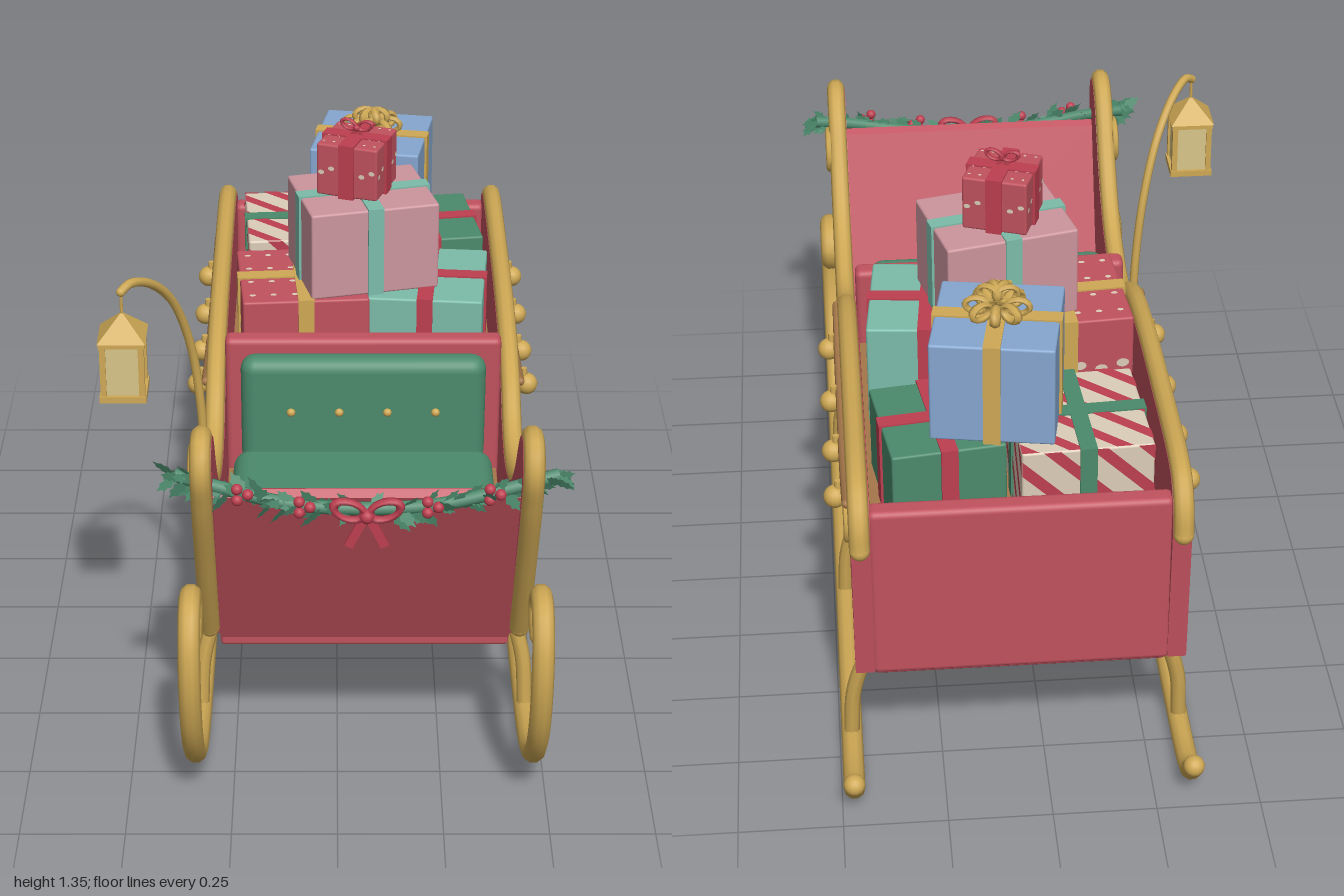
import * as THREE from 'three';
import { RoundedBoxGeometry } from 'three/addons/geometries/RoundedBoxGeometry.js';

const V = (x, y, z) => new THREE.Vector3(x, y, z);
const make = (name, color, side = THREE.FrontSide) => {
  const m = new THREE.MeshStandardMaterial({ color, side });
  m.name = name;
  return m;
};

export function createModel() {
  const red = make('sleighRed', 0xc0525e), gold = make('gold', 0xcfa955), green = make('green', 0x4c8a6c, THREE.DoubleSide);
  const mint = make('mint', 0x7cbcaa), pink = make('pink', 0xcc959d), blue = make('blue', 0x86a7d0);
  const brown = make('wood', 0xa5774a), cream = make('cream', 0xdccdb8, THREE.DoubleSide);
  const berry = make('ribbonRed', 0xbd3f50, THREE.DoubleSide), pane = make('lanternGlass', 0xd8c68a);

  const model = new THREE.Group();
  model.name = 'sleigh';
  const body = new THREE.Group();
  body.name = 'sleighBody';
  body.position.x = 0.065;
  model.add(body);

  const add = (parent, name, geo, mat, x = 0, y = 0, z = 0) => {
    const m = new THREE.Mesh(geo, mat);
    m.name = name;
    m.position.set(x, y, z);
    parent.add(m);
    return m;
  };
  const box = (p, name, mat, w, h, d, x, y, z, r = 0) =>
    add(p, name, r ? new RoundedBoxGeometry(w, h, d, 3, r) : new THREE.BoxGeometry(w, h, d), mat, x, y, z);
  const ball = (p, name, mat, r, x, y, z) => add(p, name, new THREE.SphereGeometry(r, 14, 10), mat, x, y, z);
  // tube with rounded ends through a few points
  const tube = (p, name, mat, pts, r, seg = 60, sides = 10) => {
    const curve = new THREE.CatmullRomCurve3(pts, false, 'centripetal');
    add(p, name, new THREE.TubeGeometry(curve, seg, r, sides), mat);
    for (const e of [pts[0], pts[pts.length - 1]]) ball(p, name + 'End', mat, r, e.x, e.y, e.z);
  };
  // side profile given as [z, y], extruded across x
  const slab = (p, name, mat, pts, width, x = 0) => {
    const shape = new THREE.Shape(pts.map(([z, y]) => new THREE.Vector2(z, y)));
    const g = new THREE.ExtrudeGeometry(shape, { depth: width, bevelEnabled: false });
    g.translate(0, 0, -width / 2).rotateY(-Math.PI / 2);
    return add(p, name, g, mat, x);
  };

  // Hull
  const rim = [[0.7, 0.385], [0.82, 0.63], [0.92, 0.85], [0.945, 0.94], [0.92, 0.99], [0.87, 0.995], [0.81, 0.955],
    [0.71, 0.83], [0.6, 0.73], [0.48, 0.675], [0.36, 0.655], [0.26, 0.68], [0.15, 0.755], [0.04, 0.8], [-0.15, 0.835],
    [-0.45, 0.855], [-0.78, 0.86], [-0.85, 0.84], [-0.885, 0.79], [-0.895, 0.73]];
  const rimCurve = new THREE.CatmullRomCurve3(rim.map(([z, y]) => V(0, y, z)), false, 'centripetal');
  const profile = rimCurve.getPoints(70).map(p => [p.z, p.y]);
  profile.push([-0.875, 0.36], [0.69, 0.36]);
  box(body, 'basePlate', red, 0.69, 0.036, 1.53, 0, 0.342, -0.075, 0.01);
  box(body, 'floor', red, 0.69, 0.03, 1.5, 0, 0.372, -0.08);
  box(body, 'backPanel', red, 0.7, 0.46, 0.055, 0, 0.585, -0.85, 0.015);
  box(body, 'divider', red, 0.69, 0.52, 0.055, 0, 0.615, 0.122, 0.015);
  slab(body, 'frontPanel', red, [[0.7, 0.355], [0.91, 0.86], [0.895, 0.875], [0.875, 0.865], [0.655, 0.355]], 0.69);
  box(body, 'cargoFloor', brown, 0.68, 0.03, 0.92, 0, 0.65, -0.365);
  box(body, 'bench', brown, 0.68, 0.13, 0.44, 0, 0.445, 0.365);
  box(body, 'seatCushion', green, 0.65, 0.1, 0.38, 0, 0.55, 0.375, 0.045);
  box(body, 'seatBack', green, 0.61, 0.3, 0.075, 0, 0.7, 0.185, 0.035);
  for (let i = 0; i < 4; i++) ball(body, 'seatButton', gold, 0.011, -0.18 + i * 0.12, 0.71, 0.222);

  // Mirrored sides: panel, trim, runner and ornaments
  const runner = [[0.88, 0.475], [0.835, 0.485], [0.815, 0.525], [0.845, 0.565], [0.91, 0.565], [0.96, 0.51], [0.978, 0.4],
    [0.945, 0.26], [0.86, 0.14], [0.74, 0.06], [0.6, 0.03], [0.3, 0.028], [-0.4, 0.028], [-0.84, 0.028], [-0.92, 0.048], [-0.97, 0.1]];
  const spiral = (x, y, z, r, dir, start) => Array.from({ length: 28 }, (_, i) => {
    const t = i / 27, a = start + dir * t * Math.PI * 3.8, q = r * (1 - 0.88 * t);
    return V(x, y + Math.sin(a) * q, z + Math.cos(a) * q);
  });
  const star = new THREE.Shape(Array.from({ length: 10 }, (_, i) => {
    const a = Math.PI / 2 + i * Math.PI / 5, r = i % 2 ? 0.031 : 0.066;
    return new THREE.Vector2(Math.cos(a) * r, Math.sin(a) * r);
  }));
  const starGeo = new THREE.ExtrudeGeometry(star, { depth: 0.008, bevelThickness: 0.008, bevelSize: 0.006, bevelSegments: 1 });
  starGeo.rotateY(Math.PI / 2);
  for (const s of [1, -1]) {
    const side = new THREE.Group();
    side.name = s > 0 ? 'leftSide' : 'rightSide';
    body.add(side);
    slab(side, 'sidePanel', red, profile, 0.045, s * 0.3675);
    tube(side, 'rimTrim', gold, rim.map(([z, y]) => V(s * 0.37, y, z)), 0.024, 110);
    tube(side, 'runner', gold, runner.map(([z, y]) => V(s * 0.405, y, z)), 0.026, 130);
    for (const z of [0.485, -0.16, -0.73])
      tube(side, 'strut', gold, [V(s * 0.31, 0.35, z), V(s * 0.36, 0.29, z + 0.006), V(s * 0.395, 0.18, z + 0.018), V(s * 0.405, 0.04, z + 0.03)], 0.019, 16, 8);
    tube(side, 'ornamentCord', brown, [V(s * 0.395, 0.755, 0.14), V(s * 0.397, 0.72, -0.05), V(s * 0.397, 0.708, -0.28),
      V(s * 0.397, 0.72, -0.52), V(s * 0.395, 0.752, -0.74)], 0.011, 40, 8);
    for (const [z, y] of [[0.03, 0.692], [-0.19, 0.676], [-0.41, 0.676], [-0.62, 0.69]]) {
      ball(side, 'goldBauble', gold, 0.028, s * 0.42, y, z);
      add(side, 'baubleCap', new THREE.CylinderGeometry(0.008, 0.01, 0.025, 8), gold, s * 0.412, y + 0.032, z);
    }
    const st = add(side, 'star', starGeo, gold, s * 0.39, 0.585, -0.26);
    st.rotation.y = s > 0 ? 0 : Math.PI;
    tube(side, 'rearScroll', gold, spiral(s * 0.396, 0.69, -0.71, 0.06, 1, 1.9), 0.008, 90, 6);
    tube(side, 'frontScroll', gold, spiral(s * 0.396, 0.86, 0.785, 0.068, 1, -0.2), 0.009, 90, 6);
  }

  // Two-loop bow facing +z, and a many-looped rosette
  const bow = (p, mat, size) => {
    const g = new THREE.Group();
    g.name = 'bow';
    p.add(g);
    for (const s of [1, -1]) {
      const loop = add(g, 'bowLoop', new THREE.TorusGeometry(0.34, 0.1, 6, 16), mat, s * 0.48, 0.16, 0);
      loop.scale.set(1.25, 0.75, 1.6);
      loop.rotation.z = s * 0.35;
      const tail = box(g, 'bowTail', mat, 0.24, 0.95, 0.1, s * 0.28, -0.5, 0);
      tail.rotation.z = s * 0.45;
    }
    ball(g, 'bowKnot', mat, 0.2, 0, 0, 0.05);
    g.scale.setScalar(size);
    return g;
  };
  const rosette = (p, mat, y, size) => {
    for (let i = 0; i < 12; i++) {
      const a = i * Math.PI / 4 + (i > 7 ? 0.4 : 0), inner = i > 7 ? 0.45 : 1;
      const loop = add(p, 'rosetteLoop', new THREE.TorusGeometry(size * 0.24, size * 0.07, 5, 12), mat,
        Math.cos(a) * size * 0.6 * inner, y + size * (i > 7 ? 0.62 : 0.28), Math.sin(a) * size * 0.6 * inner);
      loop.rotation.y = -a;
      loop.scale.set(1.4, 1, 2);
    }
  };

  // Gifts: box, crossed ribbons and thin wrapping patterns
  const gift = (name, mat, ribbon, [w, h, d], [x, y, z], rot, pattern) => {
    const g = new THREE.Group();
    g.name = name;
    g.position.set(x, y, z);
    g.rotation.y = rot;
    model.add(g);
    box(g, 'giftBox', mat, w, h, d, 0, h / 2, 0, 0.006);
    box(g, 'ribbonAcross', ribbon, w + 0.012, h + 0.008, 0.04, 0, h / 2, 0);
    box(g, 'ribbonAlong', ribbon, 0.04, h + 0.008, d + 0.012, 0, h / 2, 0);
    if (!pattern) return g;
    const faces = [[w, d, V(0, h + 0.002, 0), -Math.PI / 2, 0]];
    for (let i = 0; i < 4; i++) {
      const a = i * Math.PI / 2, [fw, off] = i % 2 ? [d, w / 2] : [w, d / 2];
      faces.push([fw, h, V(Math.sin(a) * (off + 0.002), h / 2, Math.cos(a) * (off + 0.002)), 0, a]);
    }
    for (const [fw, fh, pos, rx, ry] of faces) {
      const a = fw / 2, b = fh / 2, shapes = [];
      if (pattern === 'stripes') {
        const ends = k => [Math.max(-a, k - b), Math.min(a, k + b)].map(u => new THREE.Vector2(u, k - u));
        for (let k = -a - b + 0.05; k < a + b - 0.04; k += 0.11) {
          const [p0, p1] = ends(k), [q0, q1] = ends(k + 0.04);
          shapes.push(new THREE.Shape([p0, p1, q1, q0]));
        }
      } else {
        const n = rx ? 4 : 1;
        for (let j = 0; j < n; j++) for (let i = 0; i < 6; i++) {
          const u = (i - 2.5) / 6 * fw, v = rx ? (j - 1.5) / 4 * fh : (i % 2) * 0.012 - 0.006;
          const r = fw * (rx ? 0.025 : 0.05);
          shapes.push(new THREE.Shape().absellipse(u, v, r, r * 0.75, 0, Math.PI * 2));
        }
      }
      const m = add(g, 'wrapPattern', new THREE.ShapeGeometry(shapes, 6), pattern === 'stripes' ? berry : cream, pos.x, pos.y, pos.z);
      m.rotation.set(rx, ry, 0);
    }
    return g;
  };
  gift('redGift', red, gold, [0.32, 0.265, 0.32], [-0.09, 0.665, -0.12], 0.08, 'snow');
  gift('mintGift', mint, berry, [0.29, 0.265, 0.32], [0.235, 0.665, -0.125], -0.09);
  gift('pinkGift', pink, mint, [0.33, 0.23, 0.27], [0.065, 0.93, -0.135], 0.24);
  const small = gift('smallRedGift', red, berry, [0.16, 0.138, 0.16], [0.05, 1.162, -0.15], -0.34, 'snow');
  const topBow = bow(small, berry, 0.045);
  topBow.position.y = 0.16;
  gift('stripedGift', cream, green, [0.31, 0.22, 0.33], [-0.09, 0.665, -0.595], 0.06, 'stripes');
  gift('greenGift', green, berry, [0.27, 0.218, 0.3], [0.24, 0.665, -0.59], 0.14);
  const blueGift = gift('blueGift', blue, gold, [0.29, 0.255, 0.29], [0.095, 0.885, -0.57], -0.17);
  rosette(blueGift, gold, 0.258, 0.08);

  // Holly garland across the front
  const garland = new THREE.Group();
  garland.name = 'hollyGarland';
  body.add(garland);
  let seed = 7;
  const rnd = () => (seed = (seed * 16807) % 2147483647) / 2147483647;
  const half = [[0, 0], [0.014, 0.01], [0.01, 0.02], [0.019, 0.032], [0.012, 0.042], [0.015, 0.054], [0.006, 0.06]];
  const leaf = new THREE.ShapeGeometry(new THREE.Shape([...half, [0, 0.075], ...half.slice(1).reverse().map(([x, y]) => [-x, y])]
    .map(([x, y]) => new THREE.Vector2(x, y))));
  const vine = new THREE.CatmullRomCurve3([V(-0.43, 0.905, 0.885), V(-0.33, 0.885, 0.905), V(-0.17, 0.85, 0.918), V(0, 0.84, 0.922),
    V(0.17, 0.85, 0.918), V(0.33, 0.885, 0.905), V(0.43, 0.905, 0.885)]);
  add(garland, 'vine', new THREE.TubeGeometry(vine, 40, 0.016, 7), green);
  for (let i = 0; i < 100; i++) {
    const t = i / 99, p = vine.getPoint(t), m = add(garland, 'hollyLeaf', leaf, green, p.x, p.y, p.z + 0.012 * rnd());
    const outward = t < 0.5 ? 1 : -1;
    m.rotation.set((rnd() - 0.5) * 1.2, (rnd() - 0.5) * 1.4, outward * (1.57 + (rnd() - 0.5) * 2));
    m.scale.setScalar(0.6 + rnd() * 0.3);
  }
  for (const t of [0.22, 0.36, 0.64, 0.78])
    for (let k = 0; k < 3; k++) {
      const p = vine.getPoint(t), a = k * 2.1;
      ball(garland, 'hollyBerry', berry, 0.013, p.x + Math.cos(a) * 0.016, p.y + 0.008 + Math.sin(a) * 0.016, p.z + 0.024);
    }
  const frontBow = bow(garland, berry, 0.085);
  frontBow.position.set(0, 0.83, 0.938);

  // Lantern on a curved pole
  const lantern = new THREE.Group();
  lantern.name = 'lantern';
  model.add(lantern);
  tube(lantern, 'lanternPole', gold, [V(-0.33, 0.6, 0.285), V(-0.335, 0.76, 0.29), V(-0.355, 0.94, 0.31), V(-0.395, 1.09, 0.365),
    V(-0.445, 1.17, 0.44), V(-0.485, 1.192, 0.495), V(-0.502, 1.18, 0.512)], 0.011, 50, 8);
  const L = [-0.502, 0.512];
  add(lantern, 'hook', new THREE.CylinderGeometry(0.004, 0.004, 0.07, 6), gold, L[0], 1.15, L[1]);
  add(lantern, 'lanternRoof', new THREE.ConeGeometry(0.08, 0.06, 4).rotateY(Math.PI / 4).toNonIndexed(), gold, L[0], 1.1, L[1]).geometry.computeVertexNormals();
  box(lantern, 'lanternTop', gold, 0.108, 0.014, 0.108, L[0], 1.065, L[1]);
  box(lantern, 'lanternBase', gold, 0.11, 0.016, 0.11, L[0], 0.926, L[1]);
  box(lantern, 'lanternGlass', pane, 0.092, 0.13, 0.092, L[0], 0.995, L[1]);
  for (const sx of [1, -1]) for (const sz of [1, -1])
    box(lantern, 'lanternPost', gold, 0.014, 0.14, 0.014, L[0] + sx * 0.045, 0.995, L[1] + sz * 0.045);

  return model;
}
